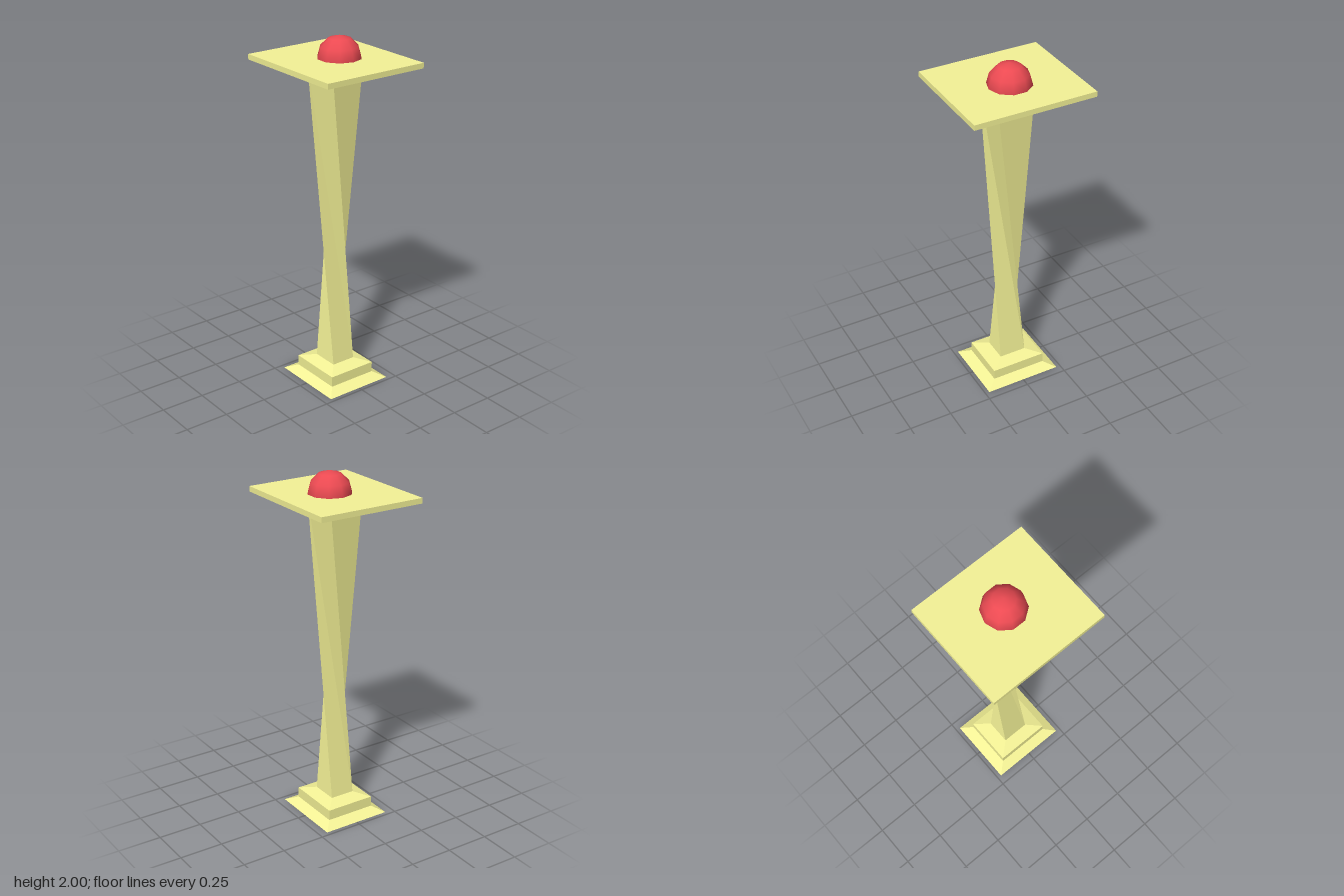
import * as THREE from 'three';

const stone = new THREE.MeshStandardMaterial({
  color: 0xf4f296, flatShading: true, side: THREE.DoubleSide,
});
const red = new THREE.MeshStandardMaterial({ color: 0xec4a52, side: THREE.DoubleSide });

// Corners of a rectangular section: front left, front right, back right, back left
const corners = ([hx, hz, y]) => [[-hx, y, hz], [hx, y, hz], [hx, y, -hz], [-hx, y, -hz]];

// Joins rectangular sections from bottom to top; shift = corners skipped per step (1 = quarter twist)
function loft(name, sections, shift = 0) {
  const pos = [];
  const tri = (a, b, c) => pos.push(...a, ...b, ...c);
  const rings = sections.map(corners);
  for (let s = 0; s < rings.length - 1; s++) {
    const b = rings[s], t = rings[s + 1];
    for (let i = 0; i < 4; i++) {
      const j = (i + shift) % 4, k = (j + 1) % 4;
      tri(t[i], b[k], t[(i + 1) % 4]);
      tri(t[i], b[j], b[k]);
    }
  }
  const geo = new THREE.BufferGeometry();
  geo.setAttribute('position', new THREE.Float32BufferAttribute(pos, 3));
  geo.computeVertexNormals();
  const mesh = new THREE.Mesh(geo, stone);
  mesh.name = name;
  return mesh;
}

export function createModel() {
  const group = new THREE.Group();
  group.name = 'pedestal';

  // Stepped foot: flared skirt, straight block, sloped shoulder
  group.add(loft('base', [
    [0.201, 0.225, 0], [0.144, 0.161, 0.03], [0.144, 0.161, 0.09], [0.071, 0.079, 0.11],
  ]));

  // Underside of the foot, facing down
  const underside = new THREE.Mesh(new THREE.PlaneGeometry(0.402, 0.45), stone);
  underside.name = 'baseUnderside';
  underside.rotation.x = Math.PI / 2;
  group.add(underside);

  // Quarter-twisted shaft, pinched at mid height
  group.add(loft('column', [[0.071, 0.079, 0.11], [0.099, 0.11, 1.85]], 1));

  // Flat table top
  const plate = new THREE.Mesh(new THREE.BoxGeometry(0.622, 0.03, 0.697), stone);
  plate.name = 'topPlate';
  plate.position.y = 1.864;
  group.add(plate);

  // Domed button, slightly off centre
  const button = new THREE.Mesh(
    new THREE.SphereGeometry(0.121, 10, 3, 0, Math.PI * 2, 0, Math.PI / 2), red);
  button.name = 'button';
  button.rotation.y = Math.PI / 2;
  button.position.set(0.03, 1.879, 0);
  group.add(button);

  return group;
}
